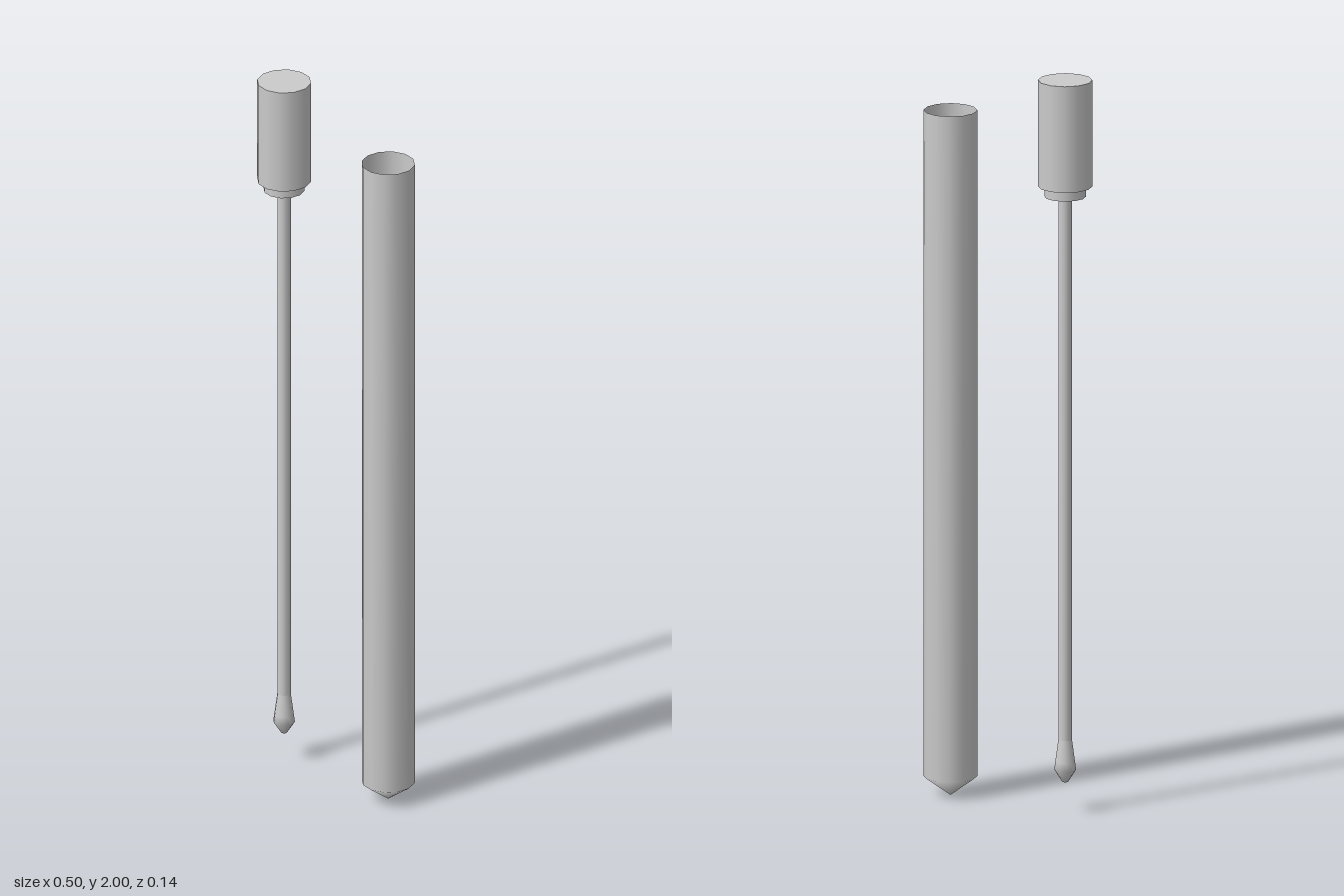
import * as THREE from 'three';

const SIDES = 12;
const material = new THREE.MeshStandardMaterial({ color: 0xcccccc });
const openMaterial = new THREE.MeshStandardMaterial({ color: 0xcccccc, side: THREE.DoubleSide });

// Profile of [radius, height] pairs, listed from bottom to top
function lathe(name, profile, mat) {
  const points = profile.map(([r, y]) => new THREE.Vector2(r, y));
  const mesh = new THREE.Mesh(new THREE.LatheGeometry(points, SIDES), mat);
  mesh.name = name;
  return mesh;
}

// Closed upright cylinder between two heights
function cylinder(name, radius, bottom, top) {
  const mesh = new THREE.Mesh(new THREE.CylinderGeometry(radius, radius, top - bottom, SIDES), material);
  mesh.position.y = (bottom + top) / 2;
  mesh.name = name;
  return mesh;
}

export function createModel() {
  const model = new THREE.Group();
  model.name = 'swabAndTube';

  // Swab: cap, collar, thin stick and flared tip
  const swab = new THREE.Group();
  swab.name = 'swab';
  swab.position.x = -0.178;
  swab.add(
    cylinder('cap', 0.072, 1.71, 2),
    cylinder('collar', 0.055, 1.682, 1.71),
    lathe('stick', [[0.018, 0.2], [0.018, 1.682]], openMaterial),
    lathe('swabTip', [[0, 0.082], [0.008, 0.085], [0.029, 0.118], [0.026, 0.14], [0.018, 0.2]], material),
  );
  model.add(swab);

  // Open thin-walled tube with a pointed bottom
  const tube = lathe('tube', [[0, 0], [0.071, 0.052], [0.071, 1.87]], openMaterial);
  tube.position.x = 0.178;
  model.add(tube);

  return model;
}
